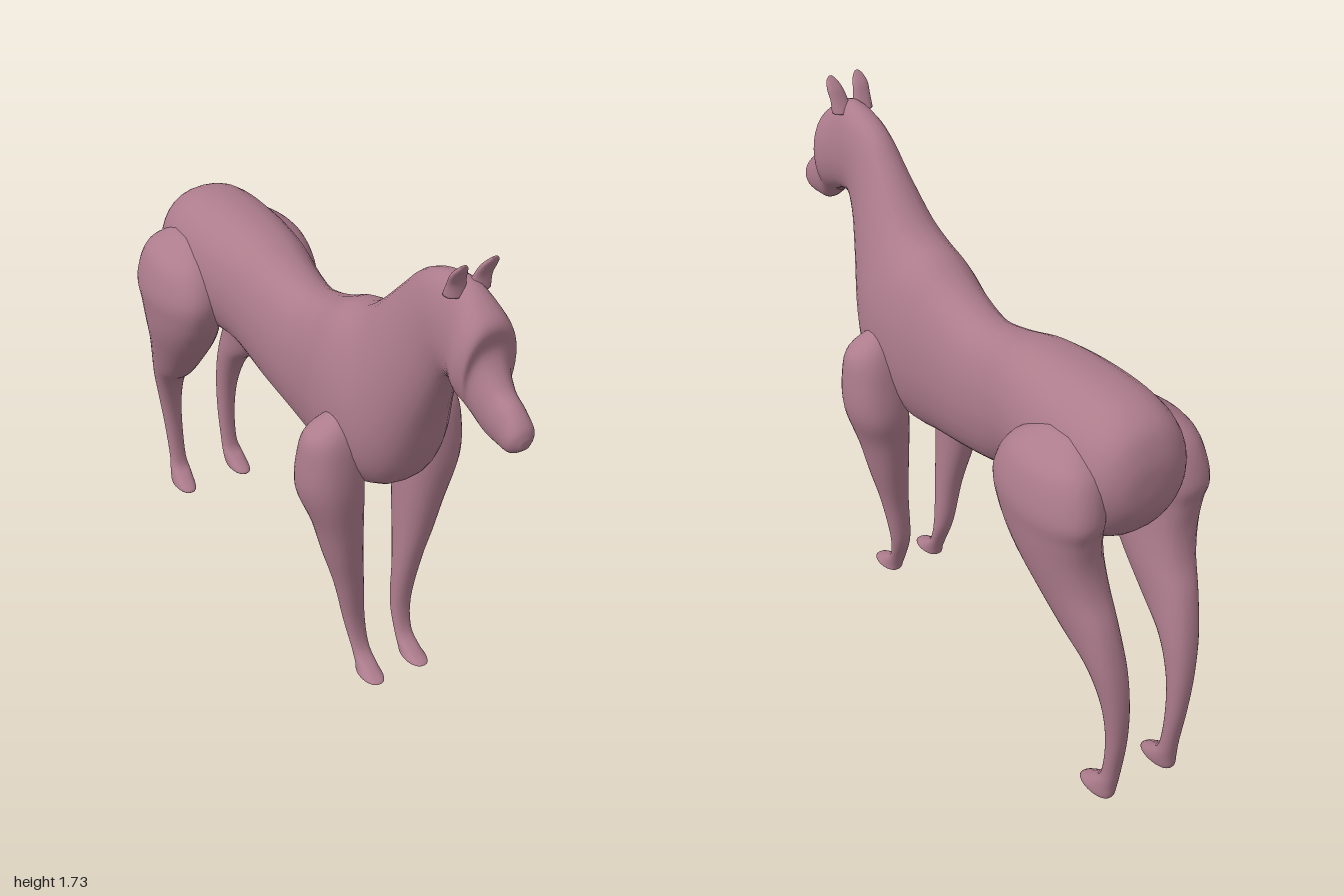
import * as THREE from 'three';

const SIDES = 32;
const STEPS = 5;

// Catmull-Rom blend of two neighbouring sections, number by number
function blend(s, i, t) {
  const at = (k) => s[Math.min(Math.max(k, 0), s.length - 1)];
  const [a, b, c, d] = [at(i - 1), at(i), at(i + 1), at(i + 2)];
  return b.map((v, k) => v + 0.5 * t * (c[k] - a[k]
    + t * (2 * a[k] - 5 * v + 4 * c[k] - d[k] + t * (3 * (v - c[k]) + d[k] - a[k]))));
}

// Skin over oval sections: [z, y] of one edge, [z, y] of the opposite edge, centre x, half width, taper.
// A positive taper makes the section wider at its second edge.
function loft(sections, side = 1) {
  const rows = [];
  for (let i = 0; i < sections.length - 1; i++) {
    for (let k = 0; k < STEPS; k++) rows.push(blend(sections, i, k / STEPS));
  }
  rows.push(sections[sections.length - 1]);

  const pos = [], index = [];
  for (const [az, ay, bz, by, cx, w, taper] of rows) {
    for (let j = 0; j < SIDES; j++) {
      const t = (j / SIDES) * Math.PI * 2;
      const c = Math.cos(t), s = Math.sin(t);
      const x = Math.sign(s) * Math.abs(s) ** 0.85 * w * (1 - taper * c);
      pos.push(side * cx + x, (ay + by) / 2 + (ay - by) / 2 * c, (az + bz) / 2 + (az - bz) / 2 * c);
    }
  }
  for (let i = 0; i < rows.length - 1; i++) {
    for (let j = 0; j < SIDES; j++) {
      const a = i * SIDES + j, b = i * SIDES + (j + 1) % SIDES;
      index.push(a, a + SIDES, b, b, a + SIDES, b + SIDES);
    }
  }
  // close both ends
  for (const end of [0, rows.length - 1]) {
    const [az, ay, bz, by, cx] = rows[end];
    const centre = pos.length / 3;
    pos.push(side * cx, (ay + by) / 2, (az + bz) / 2);
    for (let j = 0; j < SIDES; j++) {
      const a = end * SIDES + j, b = end * SIDES + (j + 1) % SIDES;
      if (end === 0) index.push(centre, a, b); else index.push(centre, b, a);
    }
  }
  const g = new THREE.BufferGeometry();
  g.setAttribute('position', new THREE.Float32BufferAttribute(pos, 3));
  g.setIndex(index);
  g.computeVertexNormals();
  return g;
}

// rump to neck: top edge, belly edge
const torso = [
  [-0.932, 1.08, -0.932, 1.04, 0, 0.02, 0],
  [-0.922, 1.16, -0.915, 0.97, 0, 0.10, 0],
  [-0.877, 1.243, -0.85, 0.88, 0, 0.16, 0],
  [-0.77, 1.288, -0.75, 0.84, 0, 0.185, 0],
  [-0.58, 1.295, -0.58, 0.85, 0, 0.185, 0],
  [-0.39, 1.28, -0.42, 0.855, 0, 0.165, 0],
  [-0.24, 1.243, -0.25, 0.79, 0, 0.142, 0],
  [-0.11, 1.226, -0.08, 0.75, 0, 0.132, 0],
  [0.035, 1.265, 0.06, 0.732, 0, 0.145, 0],
  [0.15, 1.32, 0.2, 0.725, 0, 0.17, 0.05],
  [0.25, 1.355, 0.385, 0.79, 0, 0.175, 0.1],
  [0.33, 1.414, 0.48, 0.89, 0, 0.15, 0.12],
  [0.437, 1.52, 0.56, 1.1, -0.005, 0.108, 0.1],
  [0.517, 1.595, 0.62, 1.25, -0.01, 0.083, 0.05],
  [0.61, 1.638, 0.665, 1.325, -0.012, 0.076, 0],
];

// poll to muzzle, continuing the neck: brow edge, jaw edge
const head = [
  [0.716, 1.655, 0.72, 1.34, -0.012, 0.078, 0.15],
  [0.80, 1.61, 0.765, 1.325, -0.012, 0.095, 0.1],
  [0.838, 1.565, 0.80, 1.305, -0.012, 0.088, 0],
  [0.832, 1.49, 0.825, 1.285, -0.012, 0.07, 0],
  [0.89, 1.418, 0.86, 1.257, -0.012, 0.054, 0],
  [0.95, 1.385, 0.90, 1.25, -0.012, 0.047, 0],
  [0.99, 1.345, 0.96, 1.253, -0.012, 0.042, 0],
  [1.0, 1.31, 0.995, 1.28, -0.012, 0.015, 0],
];

// legs from top to hoof: front edge, back edge
const foreLeg = [
  [0.32, 1.05, 0.27, 1.05, 0.14, 0.02, 0],
  [0.365, 0.99, 0.22, 0.99, 0.165, 0.09, 0],
  [0.385, 0.9, 0.19, 0.9, 0.178, 0.1, 0],
  [0.39, 0.78, 0.17, 0.77, 0.175, 0.102, 0],
  [0.37, 0.62, 0.19, 0.66, 0.15, 0.08, 0],
  [0.353, 0.5, 0.215, 0.52, 0.132, 0.064, 0],
  [0.335, 0.38, 0.245, 0.37, 0.11, 0.048, 0],
  [0.32, 0.22, 0.262, 0.21, 0.09, 0.036, 0],
  [0.34, 0.115, 0.3, 0.11, 0.083, 0.03, 0],
  [0.40, 0.068, 0.318, 0.062, 0.083, 0.033, 0],
  [0.447, 0.043, 0.325, 0.04, 0.085, 0.036, 0],
  [0.41, 0.035, 0.34, 0.035, 0.085, 0.015, 0],
];
const hindLeg = [
  [-0.64, 1.19, -0.76, 1.19, 0.13, 0.04, 0],
  [-0.53, 1.12, -0.86, 1.12, 0.165, 0.095, 0],
  [-0.48, 1.02, -0.905, 1.0, 0.183, 0.112, 0],
  [-0.50, 0.92, -0.89, 0.92, 0.18, 0.11, 0],
  [-0.56, 0.82, -0.885, 0.83, 0.17, 0.105, 0],
  [-0.66, 0.7, -0.905, 0.74, 0.157, 0.09, 0],
  [-0.77, 0.58, -0.95, 0.64, 0.145, 0.07, 0],
  [-0.866, 0.5, -0.985, 0.51, 0.132, 0.056, 0],
  [-0.92, 0.38, -1.0, 0.38, 0.12, 0.042, 0],
  [-0.935, 0.245, -0.995, 0.25, 0.112, 0.033, 0],
  [-0.92, 0.1, -0.977, 0.13, 0.11, 0.03, 0],
  [-0.877, 0.054, -0.967, 0.06, 0.113, 0.036, 0],
  [-0.825, 0.016, -0.96, 0.012, 0.117, 0.036, 0],
  [-0.86, 0.005, -0.93, 0.005, 0.116, 0.015, 0],
];

// ear from root to tip: back edge, front edge
const ear = [
  [0.68, 1.62, 0.735, 1.62, 0.038, 0.034, 0],
  [0.703, 1.66, 0.733, 1.66, 0.042, 0.03, 0],
  [0.722, 1.695, 0.745, 1.69, 0.047, 0.027, 0],
  [0.745, 1.72, 0.757, 1.712, 0.049, 0.018, 0],
  [0.757, 1.73, 0.76, 1.727, 0.049, 0.006, 0],
];

export function createModel() {
  const coat = new THREE.MeshStandardMaterial({ color: 0xad7c8c });
  coat.name = 'coat';
  const model = new THREE.Group();
  model.name = 'horse';

  const add = (name, geometry) => {
    const mesh = new THREE.Mesh(geometry, coat);
    mesh.name = name;
    model.add(mesh);
    return mesh;
  };

  add('bodyAndHead', loft([...torso, ...head]));
  for (const [label, side] of [['left', 1], ['right', -1]]) {
    add(label + 'ForeLeg', loft(foreLeg, side));
    add(label + 'HindLeg', loft(hindLeg, side));
    add(label + 'Ear', loft(ear, side)).position.x = -0.014;
  }
  return model;
}
